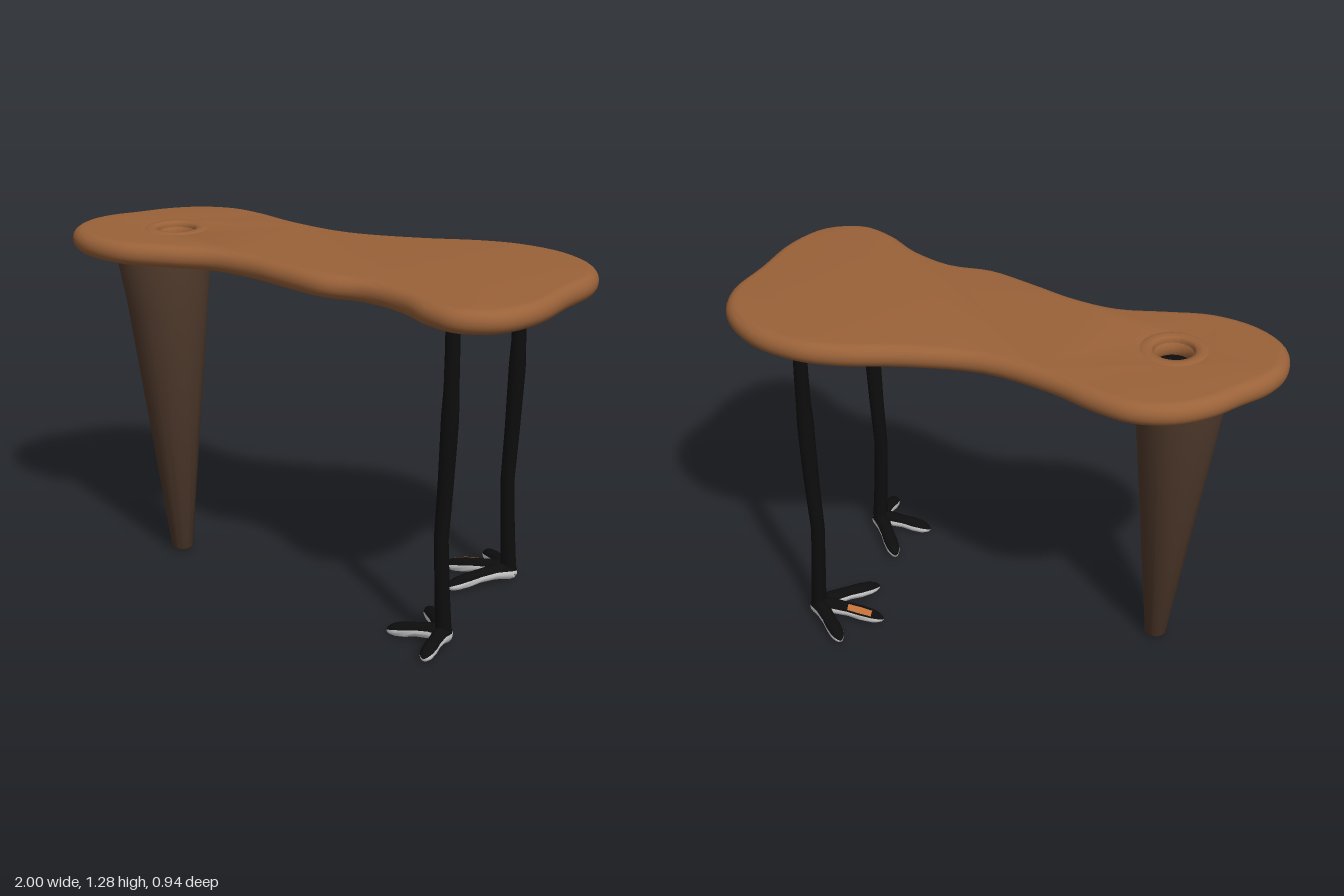
import * as THREE from 'three';
import { toCreasedNormals } from 'three/addons/utils/BufferGeometryUtils.js';

const mat = (name, color, side = THREE.FrontSide) => {
  const m = new THREE.MeshStandardMaterial({ color, side });
  m.name = name;
  return m;
};

// Skin over rows of [x, y, z, radius]; each section is an arc from a0 to a1 in the plane of u and v
function limb(rows, u, v, sides, a0 = 0, a1 = Math.PI * 2) {
  const pos = [], index = [];
  for (const [x, y, z, r] of rows) {
    for (let j = 0; j <= sides; j++) {
      const a = a0 + (a1 - a0) * j / sides;
      const p = new THREE.Vector3(x, y, z)
        .addScaledVector(u, r * Math.cos(a))
        .addScaledVector(v, r * Math.sin(a));
      pos.push(p.x, p.y, p.z);
    }
  }
  const n = sides + 1;
  for (let i = 0; i < rows.length - 1; i++) {
    for (let j = 0; j < sides; j++) {
      const a = i * n + j;
      index.push(a, a + 1, a + n, a + 1, a + n + 1, a + n);
    }
  }
  const g = new THREE.BufferGeometry();
  g.setAttribute('position', new THREE.Float32BufferAttribute(pos, 3));
  g.setIndex(index);
  return toCreasedNormals(g, 0.9);
}

export function createModel() {
  const model = new THREE.Group();
  const wood = mat('wood', 0x9a6239);
  const darkWood = mat('dark wood', 0x503a2c);
  const black = mat('black', 0x0d0d0d, THREE.DoubleSide);
  const white = mat('white', 0xd8d8d8, THREE.DoubleSide);
  const orange = mat('orange', 0xc07038, THREE.DoubleSide);
  const add = (name, geo, material, parent = model) => {
    const m = new THREE.Mesh(geo, material);
    m.name = name;
    parent.add(m);
    return m;
  };
  const X = new THREE.Vector3(1, 0, 0), Y = new THREE.Vector3(0, 1, 0), Z = new THREE.Vector3(0, 0, 1);

  // Table top: wavy slab with a round edge, outline given as x, z
  const outline = [
    [-1, -0.03], [-0.97, -0.14], [-0.9, -0.24], [-0.826, -0.345], [-0.72, -0.43], [-0.58, -0.467],
    [-0.44, -0.44], [-0.265, -0.375], [-0.02, -0.33], [0.243, -0.377], [0.457, -0.446], [0.617, -0.465],
    [0.805, -0.42], [0.95, -0.3], [1, -0.16], [0.98, 0.03], [0.96, 0.243], [0.885, 0.4],
    [0.746, 0.467], [0.617, 0.43], [0.484, 0.34], [0.323, 0.282], [0.163, 0.29], [-0.024, 0.238],
    [-0.184, 0.187], [-0.345, 0.168], [-0.505, 0.204], [-0.676, 0.238], [-0.853, 0.2], [-0.97, 0.1],
  ].map(([x, z]) => new THREE.Vector3(x, z, 0));
  const ring = new THREE.CatmullRomCurve3(outline, true).getPoints(120).slice(0, -1);
  const shape = new THREE.Shape(ring.map(p => new THREE.Vector2(p.x, p.y)));
  const hole = { x: -0.615, z: -0.065 };
  shape.holes.push(new THREE.Path().absarc(hole.x, hole.z, 0.06, 0, Math.PI * 2, true));
  const R = 0.042;
  const top = new THREE.ExtrudeGeometry(shape, {
    depth: 0.001, bevelThickness: R, bevelSize: R, bevelOffset: -R, bevelSegments: 6, curveSegments: 24,
  });
  top.rotateX(Math.PI / 2).translate(0, 1.275 - R, 0);
  add('tableTop', toCreasedNormals(top, 0.7), wood);

  // Raised lip and wall of the hole, with a dark floor
  const lip = [[0.066, 1.2], [0.07, 1.265], [0.078, 1.277], [0.095, 1.28], [0.112, 1.278], [0.122, 1.272]]
    .map(p => new THREE.Vector2(...p));
  const rim = add('holeRim', new THREE.LatheGeometry(lip.reverse(), 36), wood);
  rim.position.set(hole.x, 0, hole.z);
  rim.geometry.index.array.reverse();
  rim.geometry.computeVertexNormals();
  // Keep the lip facing upward whichever way the profile runs
  if (rim.geometry.attributes.normal.getY(3) < 0) {
    rim.geometry.index.array.reverse();
    rim.geometry.computeVertexNormals();
  }
  const floor = add('holeFloor', new THREE.CircleGeometry(0.069, 36).rotateX(-Math.PI / 2), black);
  floor.position.set(hole.x, 1.215, hole.z);

  // Tapered cone leg, leaning slightly
  add('coneLeg', limb([
    [-0.587, 0.008, -0.005, 0], [-0.587, 0.008, -0.005, 0.034], [-0.587, 0.016, -0.005, 0.04],
    [-0.633, 1.0, -0.018, 0.152], [-0.645, 1.17, -0.02, 0.175], [-0.645, 1.2, -0.02, 0.172],
  ], Z, X, 32), darkWood);

  // Thin knobbly bird legs: [height, x, sideways drift, radius]
  const legRows = [
    [0.03, 0.66, 0, 0.03], [0.2, 0.652, 0.003, 0.027], [0.4, 0.643, 0.002, 0.026], [0.6, 0.652, -0.004, 0.028],
    [0.75, 0.66, 0, 0.03], [0.85, 0.667, 0.008, 0.031], [0.95, 0.667, 0.002, 0.027],
    [1.08, 0.665, -0.004, 0.026], [1.2, 0.664, -0.003, 0.025],
  ];
  // Toe directions and lengths as x, z offsets from the ankle
  const feet = [
    { name: 'frontBirdLeg', z: 0.293, toes: [[0, 0.165], [-0.2, 0.02], [-0.14, -0.185]] },
    { name: 'rearBirdLeg', z: -0.315, toes: [[-0.155, 0.2], [-0.245, 0.02], [-0.15, -0.145]] },
  ];
  // Fraction along the toe, height and radius
  const toeRows = [
    [-0.12, 0.036, 0], [-0.1, 0.037, 0.022], [0, 0.04, 0.034], [0.25, 0.045, 0.029], [0.5, 0.04, 0.026],
    [0.7, 0.033, 0.028], [0.88, 0.027, 0.025], [0.97, 0.024, 0.019], [1.03, 0.021, 0.011], [1.06, 0.02, 0],
  ];
  for (const { name, z, toes } of feet) {
    const g = new THREE.Group();
    g.name = name;
    model.add(g);
    add('shank', limb(legRows.map(([y, x, d, r]) => [x, y, z + d, r]), Z, X, 14), black, g);
    toes.forEach(([dx, dz], k) => {
      const side = new THREE.Vector3().crossVectors(Y, new THREE.Vector3(dx, 0, dz)).normalize();
      const rows = (grow = 0) => toeRows.map(([t, y, r]) => [0.66 + dx * t, y, z + dz * t, r + grow]);
      const a = 0.25;
      add('toeTop', limb(rows(), side, Y, 8, a, Math.PI - a), black, g);
      add('toeUnderside', limb(rows(), side, Y, 10, Math.PI - a, Math.PI * 2 + a), white, g);
      // Small orange mark on the middle toe
      if (k === 1 && z < 0) add('toeMark', limb(rows(0.002).slice(4, 7), side, Y, 4, 1.7, 2.6), orange, g);
    });
  }
  return model;
}
